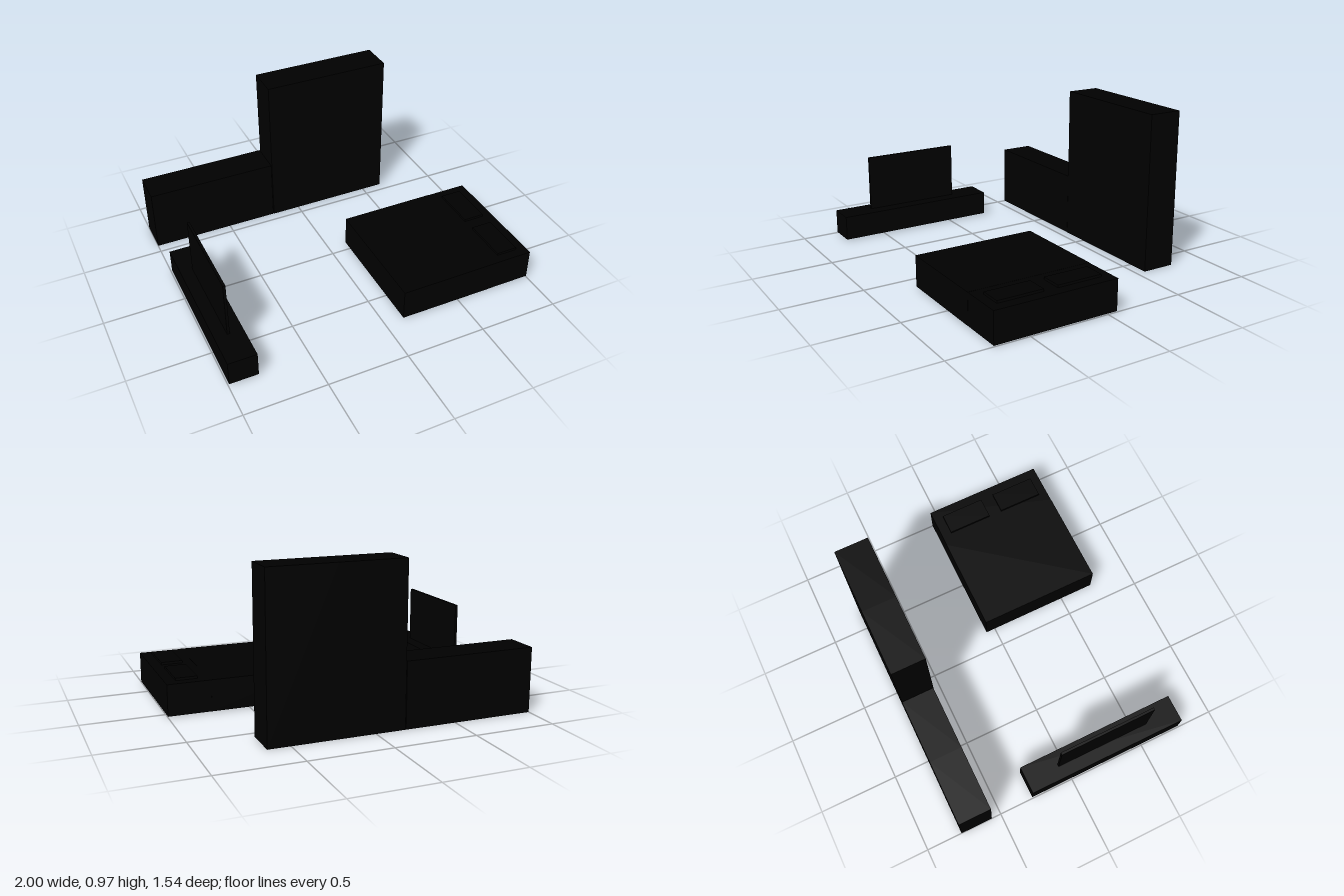
import * as THREE from 'three';

const material = new THREE.MeshStandardMaterial({ color: 0x000000 });

// Box given by its extents along each axis
function block(name, [x0, x1], [y0, y1], [z0, z1]) {
  const mesh = new THREE.Mesh(new THREE.BoxGeometry(x1 - x0, y1 - y0, z1 - z0), material);
  mesh.name = name;
  mesh.position.set((x0 + x1) / 2, (y0 + y1) / 2, (z0 + z1) / 2);
  return mesh;
}

function group(name, ...parts) {
  const g = new THREE.Group();
  g.name = name;
  g.add(...parts);
  return g;
}

export function createModel() {
  // Tall wardrobe and low cabinet along the back, two units each
  const wardrobe = group('wardrobe',
    block('wardrobeRight', [-0.181, 0.227], [0, 0.972], [-0.77, -0.56]),
    block('wardrobeLeft', [0.227, 0.635], [0, 0.972], [-0.77, -0.56]));
  const lowCabinet = group('lowCabinet',
    block('cabinetRight', [-1, -0.593], [0, 0.397], [-0.77, -0.562]),
    block('cabinetLeft', [-0.593, -0.185], [0, 0.397], [-0.77, -0.562]));

  // Long bench with a thin screen standing on it
  const media = group('mediaUnit',
    block('bench', [-0.993, -0.818], [0.006, 0.161], [-0.277, 0.77]),
    block('screen', [-0.916, -0.9], [0.161, 0.517], [-0.062, 0.556]));

  // Bed: blanket over the foot part, mattress at the head, two pillows
  const bed = group('bed',
    block('blanket', [0.122, 0.736], [0.006, 0.2], [-0.062, 0.722]),
    block('mattress', [0.736, 1], [0.006, 0.199], [-0.061, 0.721]));
  for (const z of [0.003, 0.377]) {
    bed.add(block('pillow', [0.802, 0.935], [0.199, 0.214], [z, z + 0.286]));
  }

  return group('bedroomFurniture', wardrobe, lowCabinet, media, bed);
}
